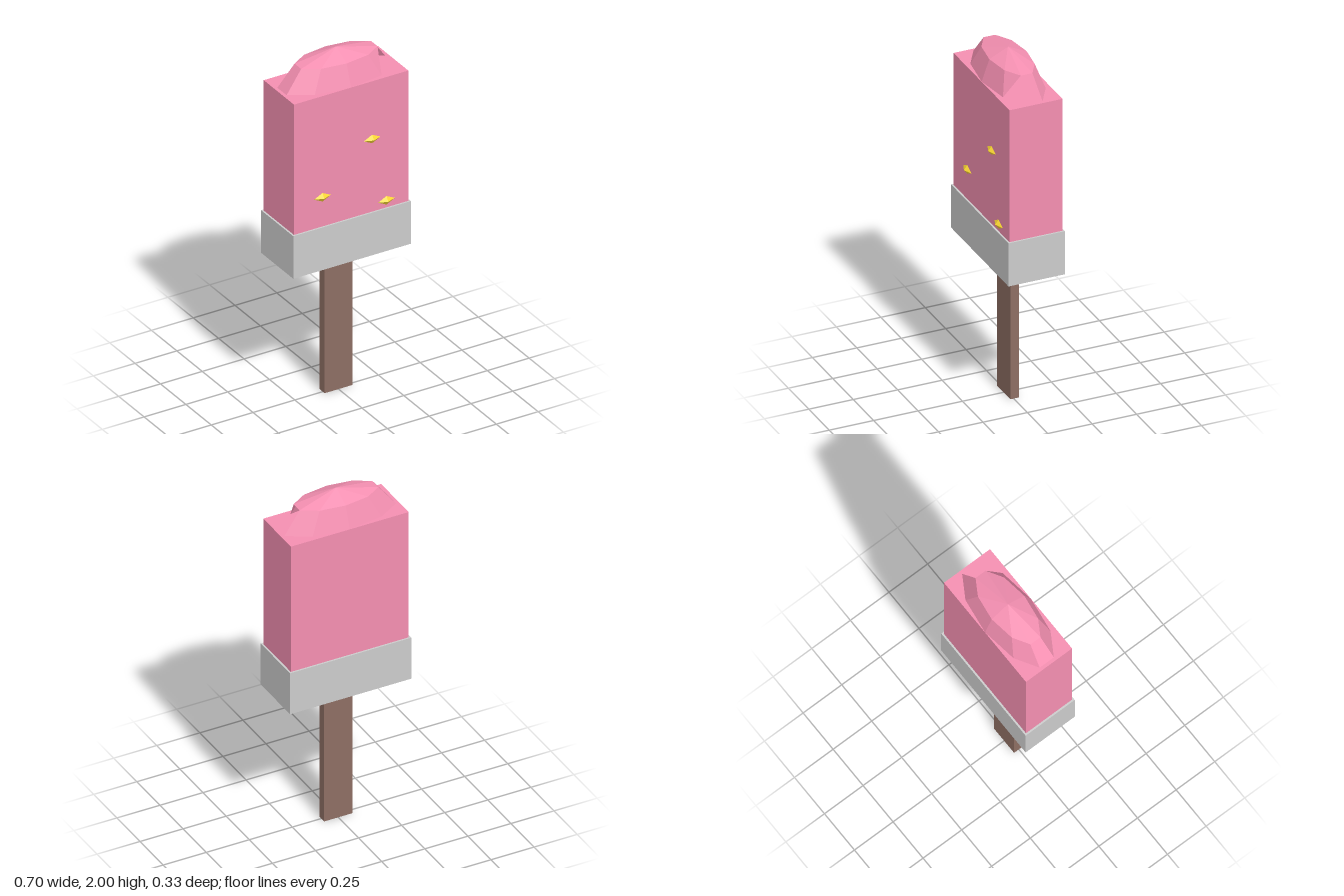
import * as THREE from 'three';

const mat = (color, side = THREE.FrontSide) =>
  new THREE.MeshStandardMaterial({ color, side, flatShading: true });
const Z = -0.006; // depth centre of the bar

// Ten-sided squashed dome; the facets around one rim corner are broken away
function domeGeometry() {
  const n = 10, missing = 3, rx = 0.34, ry = 0.17, rz = 0.1485;
  const positions = [], index = [];
  const point = (elevation, i) => {
    const a = (i / n) * Math.PI * 2, r = Math.cos(elevation);
    positions.push(rx * r * Math.sin(a), ry * Math.sin(elevation), rz * r * Math.cos(a));
  };
  for (let i = 0; i < n; i++) point(0, i);            // rim
  for (let i = 0; i < n; i++) point(Math.PI / 4, i);  // upper ring
  point(Math.PI / 2, 0);                              // apex
  const add = (...tri) => { if (!tri.includes(missing - 1)) index.push(...tri); };
  for (let i = 0; i < n; i++) {
    const j = (i + 1) % n;
    add(i, j, n + i);
    // lean the quad diagonals the other way round: split along i+1 and ring i
    add(j, n + j, n + i);
    add(n + i, n + j, 2 * n);
  }
  // one diagonal per quad, running from the rim corner nearer the front
  index.length = 0;
  for (let i = 0; i < n; i++) {
    const j = (i + 1) % n;
    add(i, j, n + j);
    add(i, n + j, n + i);
    add(n + i, n + j, 2 * n);
  }
  const g = new THREE.BufferGeometry();
  g.setAttribute('position', new THREE.Float32BufferAttribute(positions, 3));
  g.setIndex(index);
  g.computeVertexNormals();
  return g;
}

export function createModel() {
  const group = new THREE.Group();
  const pink = 0xf48fb1;

  const add = (name, geometry, material, x, y, z) => {
    const mesh = new THREE.Mesh(geometry, material);
    mesh.name = name;
    mesh.position.set(x, y, z);
    group.add(mesh);
    return mesh;
  };
  const box = (name, w, d, y0, y1, color) =>
    add(name, new THREE.BoxGeometry(w, y1 - y0, d), mat(color), 0, (y0 + y1) / 2, Z);

  // Stick, ice body and the band round its base
  box('stick', 0.166, 0.05, 0, 0.9, 0x8d6e63);
  box('iceBody', 0.684, 0.298, 0.814, 1.83, pink);
  box('baseBand', 0.704, 0.318, 0.815, 1.065, 0xcccccc);

  // Faceted top
  add('domeTop', domeGeometry(), mat(pink, THREE.DoubleSide), 0, 1.83, Z);

  // Sprinkles on the front face
  const sprinkle = new THREE.OctahedronGeometry(1).scale(0.05, 0.025, 0.019);
  const gold = mat(0xfdd835);
  [[0.125, 1.492], [-0.172, 1.237], [0.211, 1.107]].forEach(([x, y], i) =>
    add(`sprinkle${i + 1}`, sprinkle, gold, x, y, 0.144));

  return group;
}
